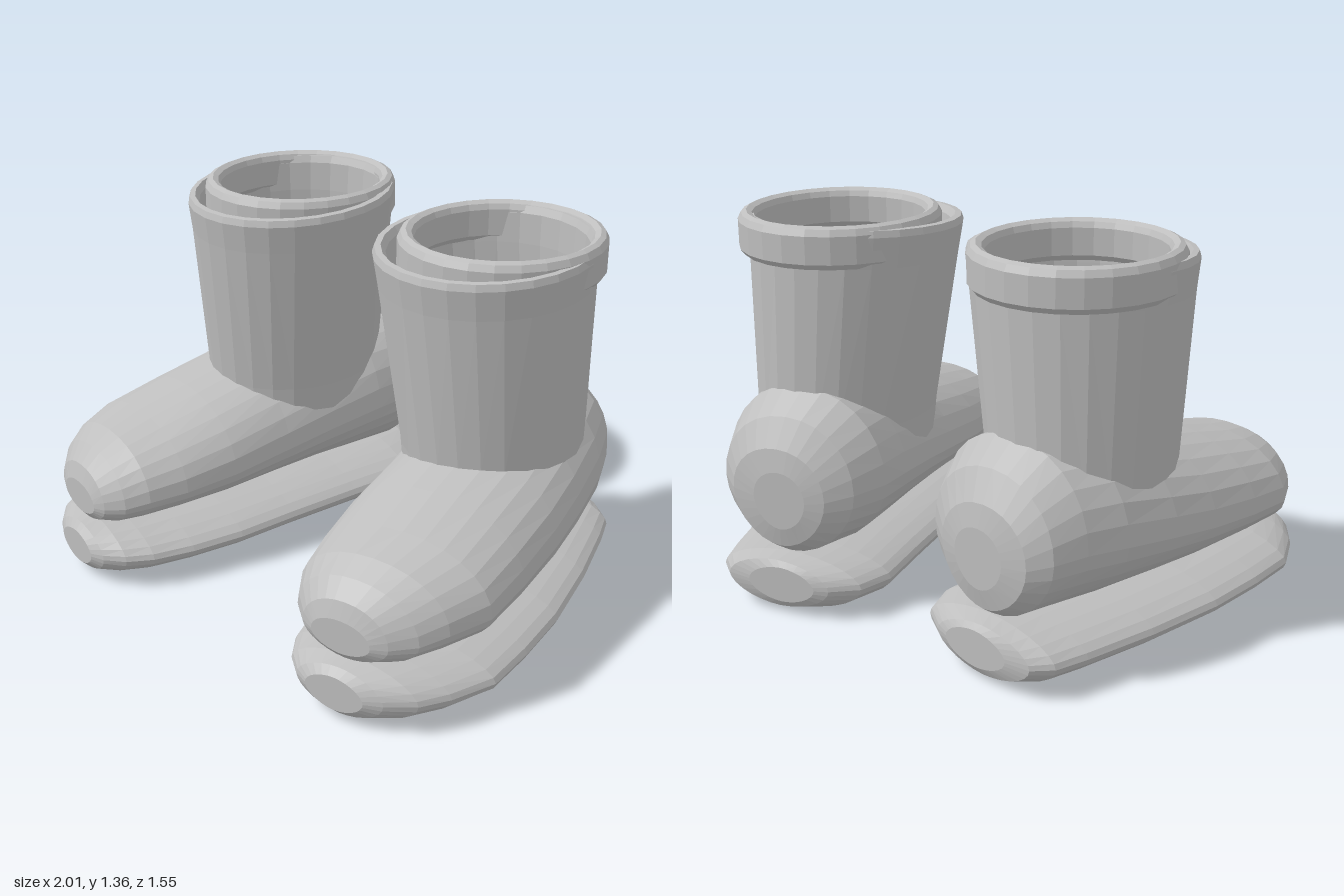
import * as THREE from 'three';

const leather = new THREE.MeshStandardMaterial({ color: 0xbebebe, flatShading: true });
leather.name = 'grey leather';

// Skins a list of equal rings; side -1 mirrors the part across x = 0.
function loft(name, rings, side, capped) {
  const n = rings[0].length, pos = [], idx = [];
  const tri = (a, b, c) => (side > 0 ? idx.push(a, b, c) : idx.push(a, c, b));
  const add = (p) => pos.push(p.x * side, p.y, p.z) / 3 - 1;
  rings.forEach((r) => r.forEach(add));
  for (let i = 0; i < rings.length - 1; i++) {
    for (let j = 0; j < n; j++) {
      const k = (j + 1) % n, a = i * n + j, b = i * n + k;
      tri(a, b, b + n);
      tri(a, b + n, a + n);
    }
  }
  if (capped) {
    [0, rings.length - 1].forEach((i) => {
      const mid = new THREE.Vector3();
      rings[i].forEach((p) => mid.addScaledVector(p, 1 / n));
      const c = add(mid);
      for (let j = 0; j < n; j++) {
        const a = i * n + j, b = i * n + ((j + 1) % n);
        i === 0 ? tri(c, b, a) : tri(c, a, b);
      }
    });
  }
  const g = new THREE.BufferGeometry();
  g.setAttribute('position', new THREE.Float32BufferAttribute(pos, 3));
  g.setIndex(idx);
  g.computeVertexNormals();
  const mesh = new THREE.Mesh(g, leather);
  mesh.name = name;
  return mesh;
}

// Feet are turned outwards by about ten degrees.
const TURN = 0.17;
function footPoint(v, y, u) {
  return new THREE.Vector3(v, y, u).applyAxisAngle(new THREE.Vector3(0, 1, 0), TURN).add(new THREE.Vector3(0.565, 0, 0));
}

// Station: along, centre, half width, bottom, widest height, top
function footRings(stations, lowPower, highPower) {
  const n = 28;
  return stations.map(([u, c, w, lo, mid, hi]) => Array.from({ length: n }, (_, j) => {
    const a = (j / n) * Math.PI * 2, s = Math.sin(a), co = Math.cos(a);
    const p = s < 0 ? lowPower : highPower;
    const v = c + w * Math.sign(co) * Math.abs(co) ** p;
    const y = mid + (s < 0 ? mid - lo : hi - mid) * Math.sign(s) * Math.abs(s) ** p;
    return footPoint(v, y, u);
  }));
}

const soleStations = [
  [-0.765, -0.03, 0.13, 0.05, 0.115, 0.18],
  [-0.75, -0.01, 0.2, 0.025, 0.115, 0.2],
  [-0.69, -0.03, 0.277, 0.005, 0.115, 0.213],
  [-0.57, -0.04, 0.32, 0, 0.115, 0.215],
  [-0.3, -0.01, 0.345, 0, 0.115, 0.215],
  [0, 0.01, 0.365, 0, 0.115, 0.215],
  [0.24, 0.01, 0.37, 0, 0.115, 0.215],
  [0.44, 0.015, 0.355, 0, 0.115, 0.215],
  [0.59, -0.005, 0.3, 0, 0.115, 0.215],
  [0.68, -0.015, 0.242, 0.008, 0.115, 0.213],
  [0.74, -0.03, 0.165, 0.025, 0.115, 0.2],
  [0.765, -0.035, 0.11, 0.05, 0.115, 0.175],
];

const upperStations = [
  [-0.75, -0.03, 0.1, 0.32, 0.43, 0.53],
  [-0.735, -0.02, 0.18, 0.25, 0.44, 0.61],
  [-0.68, -0.03, 0.255, 0.21, 0.46, 0.71],
  [-0.57, -0.04, 0.31, 0.205, 0.47, 0.785],
  [-0.42, -0.02, 0.333, 0.205, 0.46, 0.78],
  [-0.2, 0, 0.342, 0.205, 0.43, 0.72],
  [0, 0.01, 0.345, 0.205, 0.4, 0.665],
  [0.24, 0.01, 0.345, 0.205, 0.37, 0.61],
  [0.44, 0.015, 0.33, 0.205, 0.35, 0.56],
  [0.58, -0.005, 0.28, 0.205, 0.34, 0.525],
  [0.66, -0.015, 0.228, 0.208, 0.32, 0.485],
  [0.715, -0.025, 0.16, 0.225, 0.31, 0.43],
  [0.735, -0.03, 0.11, 0.25, 0.305, 0.37],
];

// Upright elliptical rings: height, centre x, centre z, radius x, radius z, tilt
function tubeRings(profile, n) {
  return profile.map(([y, cx, cz, rx, rz, tilt = 0]) => Array.from({ length: n }, (_, j) => {
    const a = (j / n) * Math.PI * 2, z = -rz * Math.sin(a);
    return new THREE.Vector3(cx + rx * Math.cos(a), y - tilt * z, cz + z);
  }));
}

// Flared shaft: up the outside, over the rim, down the lining
const shaftProfile = [
  [0.46, 0.5, -0.235, 0.3, 0.34],
  [0.62, 0.496, -0.23, 0.308, 0.35],
  [1.2, 0.464, -0.2, 0.36, 0.385, 0.04],
  [1.305, 0.46, -0.195, 0.372, 0.395, 0.05],
  [1.328, 0.46, -0.195, 0.365, 0.388, 0.05],
  [1.33, 0.462, -0.197, 0.345, 0.37, 0.05],
  [1.305, 0.464, -0.2, 0.333, 0.355, 0.05],
  [1.2, 0.466, -0.205, 0.325, 0.345, 0.04],
  [0.62, 0.496, -0.23, 0.285, 0.325],
  [0.46, 0.5, -0.235, 0.275, 0.315],
];

// Rounded collar band, set back so that it overhangs the heel side
const collarProfile = [
  [1.215, 0.35], [1.235, 0.367], [1.33, 0.367], [1.352, 0.355], [1.36, 0.337],
  [1.35, 0.317], [1.33, 0.308], [1.235, 0.308], [1.215, 0.325], [1.215, 0.35],
].map(([y, r]) => [y, 0.477, -0.26, r * 0.945, r]);

function makeBoot(name, side) {
  const boot = new THREE.Group();
  boot.name = name;
  boot.add(
    loft('sole', footRings(soleStations, 1.1, 1.1), side, true),
    loft('footUpper', footRings(upperStations, 1.08, 0.95), side, true),
    loft('shaft', tubeRings(shaftProfile, 26), side, false),
    loft('collar', tubeRings(collarProfile, 26), side, false),
  );
  // Small ridge across the insole
  const ridge = new THREE.Mesh(new THREE.CapsuleGeometry(0.032, 0.37, 3, 8), leather);
  ridge.name = 'insoleRidge';
  ridge.rotation.set(0, side * 0.2, Math.PI / 2);
  ridge.position.set(side * 0.49, 0.765, -0.255);
  boot.add(ridge);
  return boot;
}

export function createModel() {
  const model = new THREE.Group();
  model.name = 'boots';
  model.add(makeBoot('leftBoot', 1), makeBoot('rightBoot', -1));
  return model;
}
